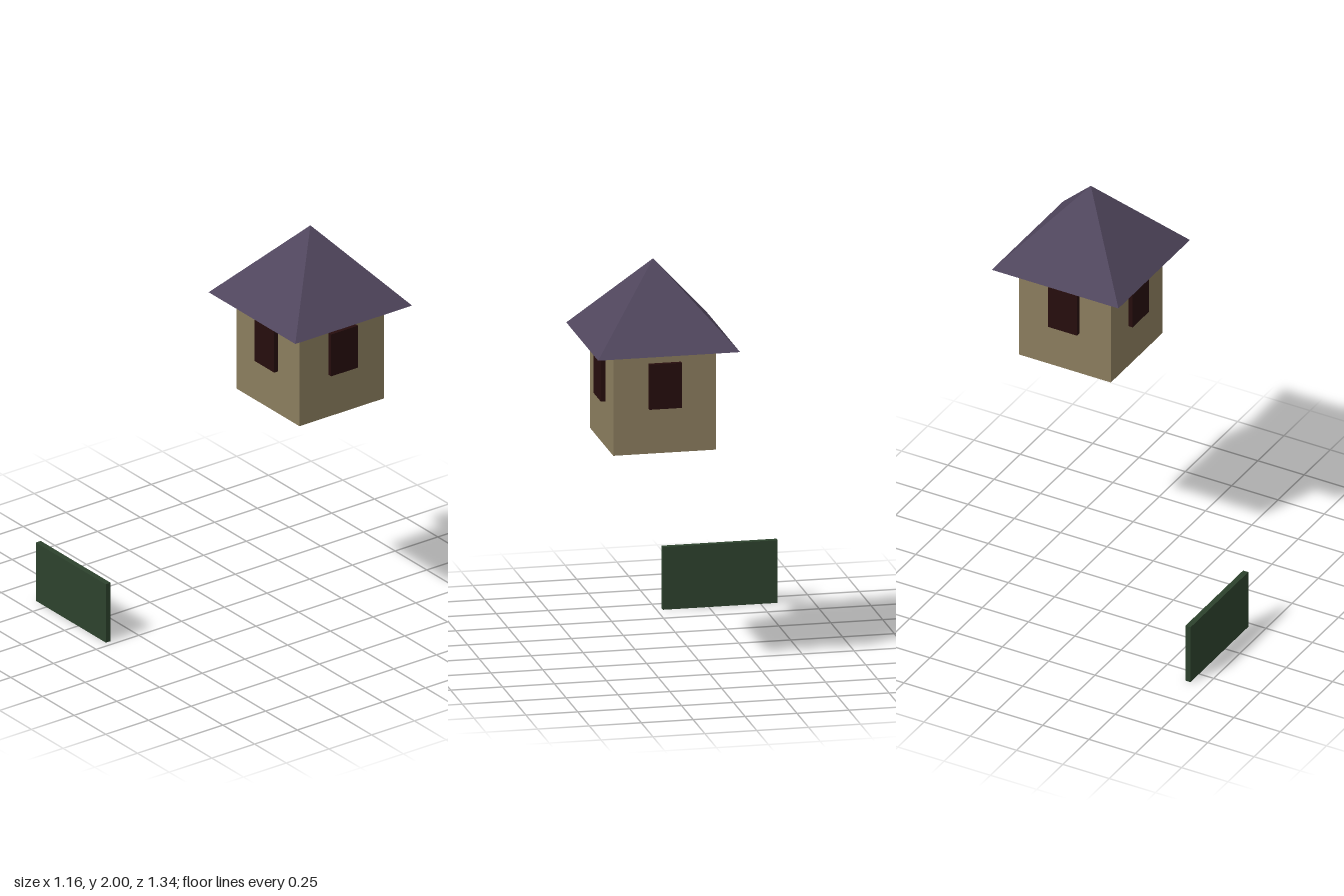
import * as THREE from 'three';

const mat = (name, color) => Object.assign(new THREE.MeshStandardMaterial({ color }), { name });

export function createModel() {
  const wall = mat('tan wall', 0x8b7d5e);
  const roofPurple = mat('purple roof', 0x50465d);
  const eaveGrey = mat('grey eaves', 0x5f6364);
  const windowDark = mat('dark window', 0x260d0d);
  const green = mat('dark green', 0x2d422d);

  const model = new THREE.Group();
  model.name = 'model';
  const add = (parent, name, geometry, material, x, y, z) => {
    const mesh = new THREE.Mesh(geometry, material);
    mesh.name = name;
    mesh.position.set(x, y, z);
    parent.add(mesh);
    return mesh;
  };

  // Raised square house
  const house = new THREE.Group();
  house.name = 'house';
  house.position.set(0.236, 0, -0.329);
  model.add(house);
  const size = 0.496;
  add(house, 'walls', new THREE.BoxGeometry(size, size, size), wall, 0, 1.366, 0);

  // Four-sided roof, squared up with the walls, with a separate underside
  const half = 0.342;
  const roofGeo = new THREE.ConeGeometry(half * Math.SQRT2, 0.386, 4, 1, true)
    .rotateY(Math.PI / 4).toNonIndexed();
  roofGeo.computeVertexNormals();
  add(house, 'roof', roofGeo, roofPurple, 0, 1.807, 0);
  const eaves = new THREE.PlaneGeometry(half * 2, half * 2).rotateX(Math.PI / 2);
  add(house, 'eaves', eaves, eaveGrey, 0, 1.614, 0);

  // One raised window on each wall
  const out = 0.022;
  for (let i = 0; i < 4; i++) {
    const geo = new THREE.BoxGeometry(0.157, 0.22, out)
      .translate(0, 0, size / 2 + out / 2)
      .rotateY(i * Math.PI / 2);
    add(house, 'window', geo, windowDark, 0, 1.448, 0);
  }

  // Upright panel on the ground
  add(model, 'panel', new THREE.BoxGeometry(0.553, 0.306, 0.028), green, -0.306, 0.153, 0.657);

  return model;
}
